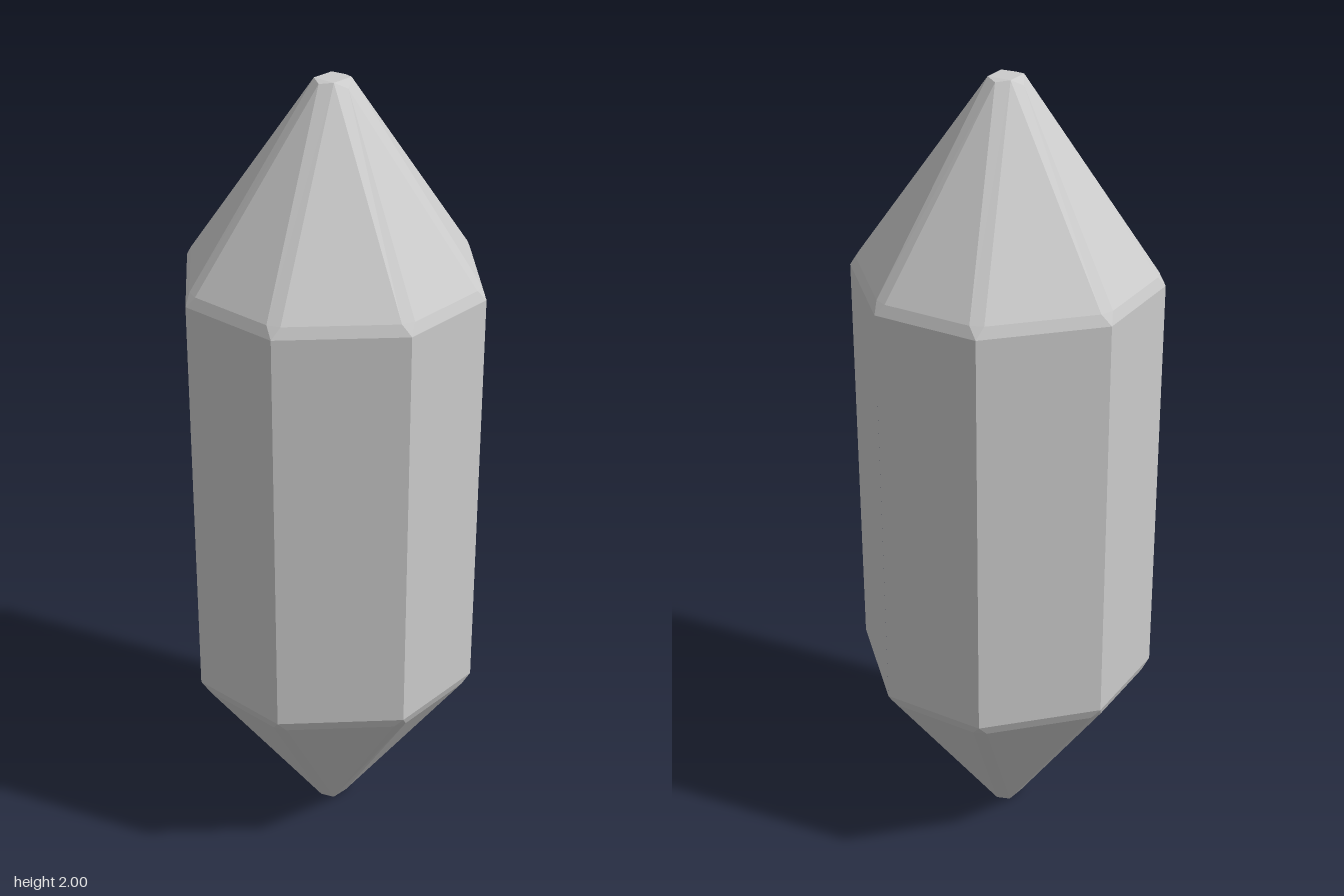
import * as THREE from 'three';

const SIDES = 8;
const HALF_BODY = 0.52; // half height of the straight prism

// Cardinal panels are slightly narrower than the diagonal ones
const apothem = k => (k % 2 ? 0.343 : 0.352);
const halfWidth = k => (k % 2 ? 0.155 : 0.133);

// Point on panel k: distance out from the axis, offset along the panel, height
function onPanel(k, out, along, y) {
  const a = (k * Math.PI * 2) / SIDES;
  return [
    out * Math.sin(a) + along * Math.cos(a),
    y,
    out * Math.cos(a) - along * Math.sin(a),
  ];
}

// Unshared corners give every facet its own flat normal
function facetMesh(name, facets, material) {
  const positions = [];
  for (const f of facets) {
    for (let i = 1; i < f.length - 1; i++) positions.push(...f[0], ...f[i], ...f[i + 1]);
  }
  const geometry = new THREE.BufferGeometry();
  geometry.setAttribute('position', new THREE.Float32BufferAttribute(positions, 3));
  geometry.computeVertexNormals();
  const mesh = new THREE.Mesh(geometry, material);
  mesh.name = name;
  return mesh;
}

// Straight eight-sided shaft
function prismFacets() {
  const facets = [];
  for (let k = 0; k < SIDES; k++) {
    const p = (s, y) => onPanel(k, apothem(k), s * halfWidth(k), y);
    facets.push([p(-1, -HALF_BODY), p(1, -HALF_BODY), p(1, HALF_BODY), p(-1, HALF_BODY)]);
  }
  return facets;
}

// Pointed end with bevelled shoulder, bevelled ridges and a blunt tip
function pointFacets() {
  const corner = (k, s) => onPanel(k, apothem(k), s * halfWidth(k), HALF_BODY);
  const shoulder = (k, s) => onPanel(k, apothem(k) - 0.01, s * (halfWidth(k) - 0.022), 0.547);
  // The front and back tip corners sit lower than the rest
  const tip = k => onPanel(k, k % 2 ? 0.042 : 0.047, 0, k % 4 === 0 ? 0.983 : k % 2 ? 1 : 0.995);

  const facets = [];
  for (let k = 0; k < SIDES; k++) {
    const n = (k + 1) % SIDES;
    facets.push(
      [corner(k, -1), corner(k, 1), shoulder(k, 1), shoulder(k, -1)], // shoulder bevel
      [corner(k, 1), shoulder(n, -1), shoulder(k, 1)], // corner chip
      [shoulder(k, -1), shoulder(k, 1), tip(k)], // main face
      [shoulder(k, 1), shoulder(n, -1), tip(n), tip(k)], // ridge bevel
    );
  }
  // Blunt tip: square cap with a sliver on each side
  facets.push([tip(1), tip(3), tip(5), tip(7)]);
  for (let k = 0; k < SIDES; k += 2) facets.push([tip((k + 7) % SIDES), tip(k), tip(k + 1)]);
  return facets;
}

export function createModel() {
  const model = new THREE.Group();
  model.name = 'crystal';
  const material = new THREE.MeshStandardMaterial({ color: 0xcccccc, flatShading: true });

  const shaft = facetMesh('shaft', prismFacets(), material);
  const upperPoint = facetMesh('upperPoint', pointFacets(), material);
  const lowerPoint = facetMesh('lowerPoint', pointFacets(), material);
  lowerPoint.rotation.x = Math.PI;

  for (const part of [shaft, upperPoint, lowerPoint]) {
    part.position.y = 1;
    model.add(part);
  }
  return model;
}
